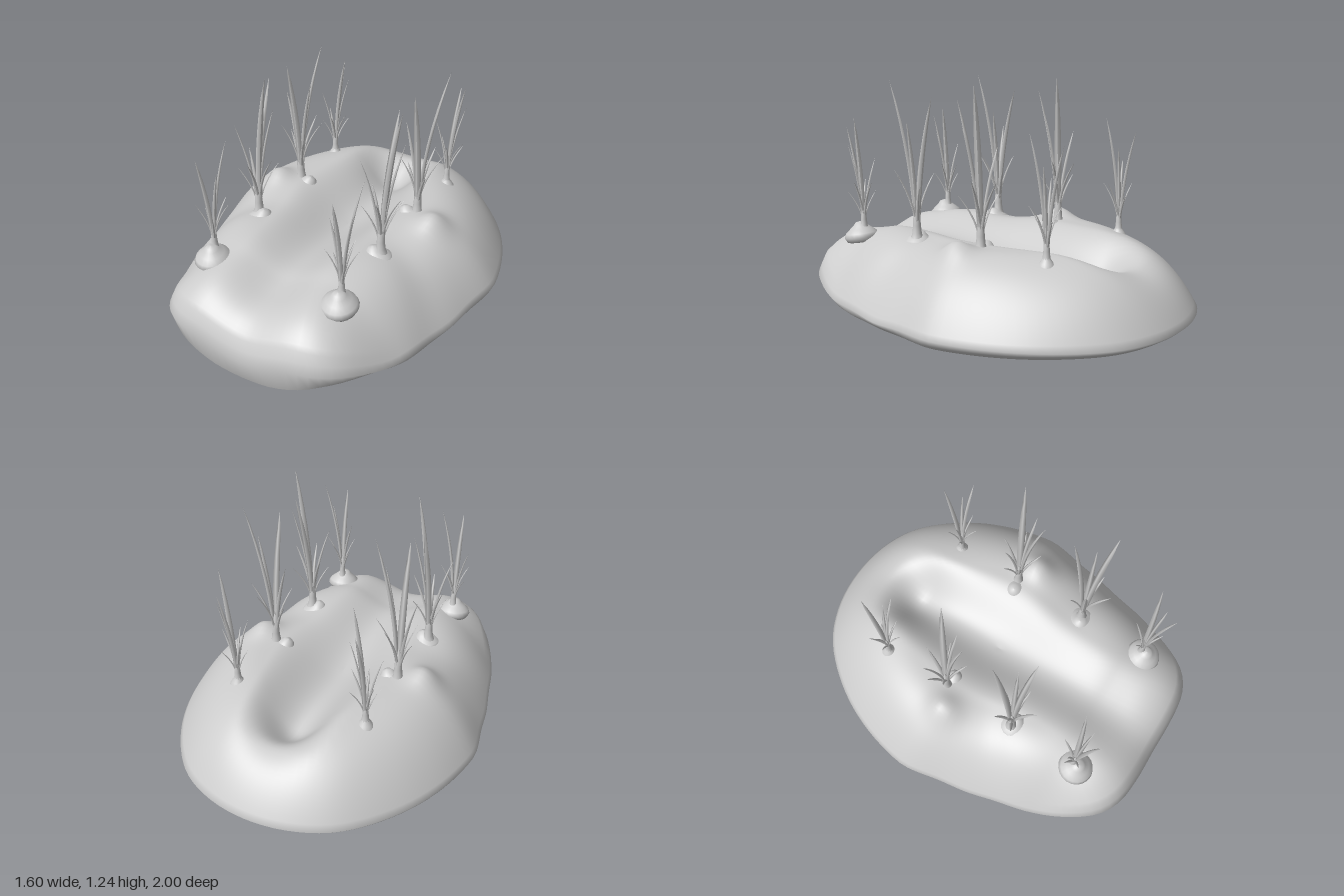
import * as THREE from 'three';

const material = new THREE.MeshStandardMaterial({ color: 0xcccccc, side: THREE.DoubleSide });
const smooth = THREE.MathUtils.smoothstep;
const lerp = THREE.MathUtils.lerp;

const bump = (x, z, cx, cz, r) => Math.exp(-((x - cx) ** 2 + (z - cz) ** 2) / (r * r));

// Height of the top of the mound: rounded shoulder, raised front lip, central basin, small swells
function topHeight(s, x, z) {
  const ax = Math.abs(x);
  const roundness = lerp(2.2, 2.6, smooth(-z, 0.4, 0.9));
  const shoulder = 0.13 + 0.33 * (1 - Math.pow(Math.max(0, (s - 0.5) / 0.5), roundness));
  const frontLip = 0.125 * smooth(z, 0.6, 1) * (1 - 0.4 * smooth(s, 0.96, 1));
  // The basin is deepest at the back and runs out through a shallow groove in the front
  const width = 0.25 + 0.08 * bump(0, z, 0, -0.05, 0.35) + 0.05 * smooth(z, 0.4, 0.9);
  const across = 1 - smooth(ax, 0, width);
  const depth = lerp(0.15, 0.09, smooth(z, -0.1, 0.5)) * smooth(z, -0.75, -0.5) * (1 - 0.35 * smooth(z, 0.7, 1));
  const backDip = 0.07 * bump(0, z, 0, -0.62, 0.2) * across;
  return shoulder + frontLip - across * depth - backDip
    + 0.05 * bump(ax, z, 0.475, -0.04, 0.08) - 0.025 * bump(ax, z, 0.42, 0.2, 0.14) - 0.025 * bump(ax, z, 0.61, 0.25, 0.16);
}

function moundGeometry() {
  const half = [[0.2, -0.975], [0.38, -0.9], [0.51, -0.79], [0.65, -0.6], [0.74, -0.4], [0.79, -0.2], [0.798, -0.1],
    [0.76, 0.1], [0.735, 0.25], [0.695, 0.4], [0.65, 0.58], [0.57, 0.77], [0.47, 0.91], [0.36, 0.975], [0.2, 0.998]];
  const points = [[0, -1], ...half, [0, 1], ...half.map(([x, z]) => [-x, z]).reverse()];
  const curve = new THREE.CatmullRomCurve3(points.map(([x, z]) => new THREE.Vector3(x, 0, z)), true);
  const n = 112, topRings = 44;
  const outline = curve.getSpacedPoints(n).slice(0, n);
  const under = [[0.985, 0.1], [0.95, 0.078], [0.88, 0.059], [0.78, 0.049], [0.6, 0.045], [0.3, 0.045], [0, 0.045]];
  const pos = [], index = [];

  // Rings run from the top centre out to the rim, then back in underneath
  for (let i = 0; i <= topRings; i++) {
    const s = Math.pow(i / topRings, 0.85);
    for (const p of outline) pos.push(p.x * s, topHeight(s, p.x * s, p.z * s), p.z * s);
  }
  // The underside dips at the front and tucks up under the two front corners
  for (const [s, h] of under) {
    for (const p of outline) {
      const x = p.x * s, z = p.z * s;
      const tuck = 0.11 * bump(Math.abs(x), z, 0.47, 0.9, 0.24) * smooth(s, 0.75, 1);
      pos.push(x, Math.max(0, h - 0.015 * z - 0.05 * smooth(z, 0.68, 0.92) + tuck), z);
    }
  }
  const rings = topRings + under.length;
  for (let i = 0; i < rings; i++) {
    for (let j = 0; j < n; j++) {
      const k = (j + 1) % n;
      const a = i * n + j, a2 = i * n + k, b = a + n, b2 = a2 + n;
      index.push(a, a2, b, a2, b2, b);
    }
  }
  const g = new THREE.BufferGeometry();
  g.setAttribute('position', new THREE.Float32BufferAttribute(pos, 3));
  g.setIndex(index);
  g.computeVertexNormals();
  return g;
}

// Thin diamond-section blade that bulges, tapers to a point and bends towards (dx, dz)
function bladeGeometry(dx, dz, base, height, width) {
  const g = new THREE.CylinderGeometry(1, 1, 1, 4, 8, true);
  const p = g.attributes.position;
  const reach = Math.hypot(dx, dz);
  for (let i = 0; i < p.count; i++) {
    const t = p.getY(i) + 0.5;
    const w = width * (0.6 + 1.4 * t) * Math.pow(1 - t, 0.7);
    p.setXYZ(i, p.getX(i) * w, base + t * (height - base), p.getZ(i) * w * 0.5 + 0.008 + reach * Math.pow(t, 1.9));
  }
  g.rotateY(Math.atan2(dx, dz));
  g.computeVertexNormals();
  return g;
}

// Blades as [lean x, lean z, start height, tip height, half width]
const blades = [
  [0.11, 0.05, 0, 0.79, 0.022], [0.015, -0.115, 0, 0.71, 0.022],
  [-0.09, 0.03, 0.01, 0.49, 0.016], [0.09, -0.03, 0.01, 0.6, 0.016],
  [0.11, 0.03, 0.05, 0.35, 0.012], [-0.075, -0.05, 0.05, 0.33, 0.012],
  [0.03, 0.11, 0.05, 0.34, 0.012], [-0.08, 0.04, 0.03, 0.26, 0.011],
  [0.07, -0.08, 0.03, 0.27, 0.011],
];

const lathe = (profile, segments) =>
  new THREE.LatheGeometry(profile.map(([r, y]) => new THREE.Vector2(r, y)), segments);

function createPlant(mirrorZ) {
  const plant = new THREE.Group();
  const stalk = new THREE.Mesh(
    lathe([[0.055, -0.05], [0.036, -0.01], [0.024, 0.02], [0.02, 0.06], [0.017, 0.12], [0, 0.19]], 10), material);
  stalk.name = 'stalk';
  plant.add(stalk);
  for (const [dx, dz, base, tip, width] of blades) {
    const blade = new THREE.Mesh(bladeGeometry(dx, dz * mirrorZ, base, tip, width), material);
    blade.name = 'grassBlade';
    plant.add(blade);
  }
  return plant;
}

export function createModel() {
  const model = new THREE.Group();
  const mound = new THREE.Mesh(moundGeometry(), material);
  mound.name = 'mound';
  model.add(mound);

  // Four rows of plants: z, size, z mirroring, and root knob offset inward, forward and radius
  const rows = [
    [0.67, 0.75, -1, 0, 0.025, 0.092], [0.3, 1, 1, 0.03, 0.01, 0.09],
    [-0.1, 1, -1, 0.055, 0.01, 0.085], [-0.47, 0.75, 1, 0, 0, 0.05],
  ];
  const knobGeometry = lathe([[0, -0.07], [0.85, -0.06], [1, -0.035], [0.9, -0.015], [0.65, 0.005], [0.4, 0.024], [0.25, 0.04], [0, 0.045]], 20);
  for (const side of [-1, 1]) {
    for (const [z, size, mirrorZ, inward, forward, radius] of rows) {
      const x = side * 0.355;
      const plant = createPlant(mirrorZ);
      plant.name = 'grassTuft';
      plant.position.set(x, 0.45, z);
      plant.scale.setScalar(size);
      model.add(plant);

      // Root knob, tipped down the slope it sits on
      const knob = new THREE.Mesh(knobGeometry, material);
      knob.name = 'rootKnob';
      knob.scale.set(radius, 1, radius);
      knob.position.set(x - side * inward, 0.435, z + forward);
      knob.rotation.set(forward * 6, 0, side * inward * 6);
      model.add(knob);
    }
  }
  return model;
}
